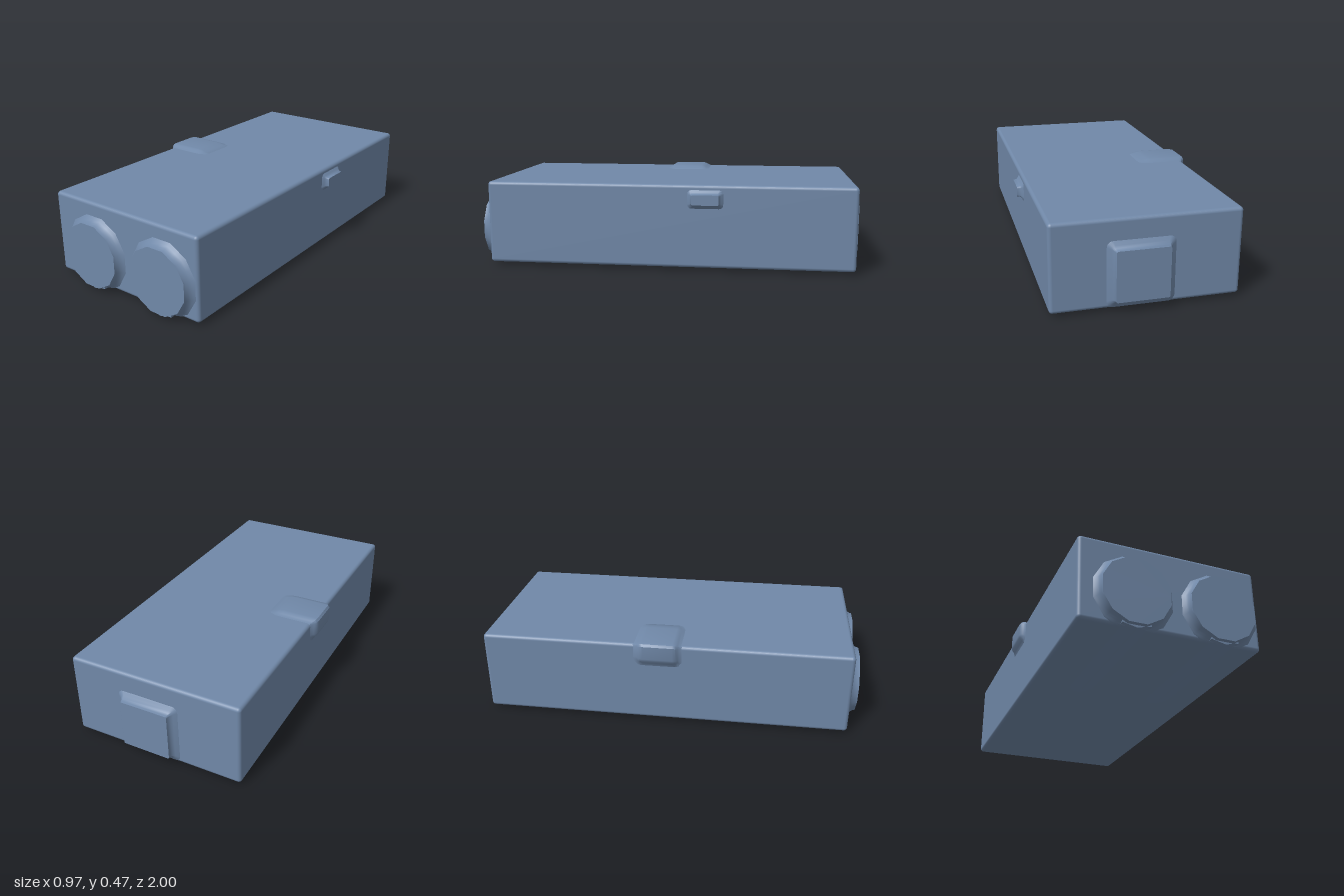
import * as THREE from 'three';
import { RoundedBoxGeometry } from 'three/addons/geometries/RoundedBoxGeometry.js';
import { toCreasedNormals } from 'three/addons/utils/BufferGeometryUtils.js';

const casing = new THREE.MeshStandardMaterial({ color: 0x7088a8 });
casing.name = 'blueGreyCasing';

const lerp = THREE.MathUtils.lerp;

// Skin a list of closed rings (arrays of [x, y, z], counter-clockwise seen from the last ring) and cap the end
function loft(rings, crease = 0.6) {
  const n = rings[0].length, pos = [], index = [];
  rings.forEach(ring => ring.forEach(p => pos.push(...p)));
  for (let r = 0; r < rings.length - 1; r++) {
    for (let i = 0; i < n; i++) {
      const a = r * n + i, b = r * n + (i + 1) % n;
      index.push(a, b, b + n, a, b + n, a + n);
    }
  }
  const capStart = (rings.length - 1) * n;
  for (let i = 1; i < n - 1; i++) index.push(capStart, capStart + i, capStart + i + 1);
  const g = new THREE.BufferGeometry();
  g.setAttribute('position', new THREE.Float32BufferAttribute(pos, 3));
  g.setIndex(index);
  return toCreasedNormals(g, crease);
}

// Rectangle ring with rounded corners, at height z
function roundedRect(w, h, r, z) {
  const ring = [];
  [[1, 1], [-1, 1], [-1, -1], [1, -1]].forEach(([sx, sy], q) => {
    for (let k = 0; k <= 4; k++) {
      const a = (q + k / 4) * Math.PI / 2;
      ring.push([sx * (w - r) + r * Math.cos(a), sy * (h - r) + r * Math.sin(a), z]);
    }
  });
  return ring;
}

// Raised pad whose foot flares smoothly into the casing; w and h are half sizes of its face
function padGeometry(w, h, rise, flare) {
  const steps = [[1, -0.15], [0.75, 0.08], [0.4, 0.25], [0.15, 0.5], [0.05, 0.75], [0, 1]];
  return loft(steps.map(([f, z]) => roundedRect(w + flare * f, h + flare * f, 0.008 + flare * f * 0.6, rise * z)));
}

export function createModel() {
  const model = new THREE.Group();
  model.name = 'casingBox';
  const add = (name, geometry, x = 0, y = 0, z = 0) => {
    const mesh = new THREE.Mesh(geometry, casing);
    mesh.name = name;
    mesh.position.set(x, y, z);
    model.add(mesh);
    return mesh;
  };

  // Main box
  add('body', new RoundedBoxGeometry(0.915, 0.433, 1.912, 4, 0.018), -0.0025, 0.2335, -0.002);

  // Two round front caps with flared feet, trimmed at the bottom edge
  const capY = 0.185, floor = 0.017;
  const profile = [[0.208, 0.948], [0.196, 0.958], [0.186, 0.966], [0.179, 0.979], [0.174, 0.99], [0.172, 1]];
  [-0.193, 0.245].forEach((x, n) => {
    const side = n ? 'left' : 'right';
    const rings = profile.map(([r, z]) => Array.from({ length: 24 }, (_, i) => {
      const a = i * Math.PI / 12;
      // twelve flats, so every second point sits on a flat
      const rr = i % 2 ? r : r * Math.cos(Math.PI / 12);
      const px = rr * Math.cos(a);
      const low = floor - 0.014 * Math.max(0, 1 - Math.abs(px) / 0.1);
      return [px, Math.max(rr * Math.sin(a), low - capY), z];
    }));
    add(side + 'FrontCap', loft(rings), x, capY);

    // Shallow ridge under the box, fading out toward the middle
    const section = [[-0.07, 0], [-0.04, 0.2], [-0.018, 0.75], [0, 1], [0.018, 0.75], [0.04, 0.2], [0.07, 0]];
    const ridge = [[0.2, 0], [0.23, 0.3], [0.27, 0.85], [0.32, 1], [0.95, 1], [0.985, 0.9]].map(([z, k]) => [
      ...section.map(([sx, d]) => [sx, 0.018 - 0.017 * d * k, z]),
      [0.07, 0.03, z], [-0.07, 0.03, z],
    ]);
    add(side + 'BottomRidge', loft(ridge), x);
  });

  // Square pad on the back
  add('backPad', padGeometry(0.128, 0.125, 0.042, 0.042), 0.028, 0.185, -0.958).rotation.y = Math.PI;

  // Small button on the left side
  add('sideButton', padGeometry(0.07, 0.026, 0.032, 0.026), 0.455, 0.376, -0.193).rotation.y = Math.PI / 2;

  // Latch wrapped over the upper right edge: outline points pair a raised spot with the surface below it
  const latch = [
    [-0.44, 0.32, -0.44, 0.32], [-0.2, 0.435, -0.2, 0.435], [-0.215, 0.45, -0.215, 0.448],
    [-0.24, 0.455, -0.24, 0.448], [-0.265, 0.464, -0.265, 0.448], [-0.29, 0.466, -0.29, 0.448],
    [-0.46, 0.466, -0.445, 0.448], [-0.477, 0.462, -0.453, 0.445], [-0.486, 0.45, -0.458, 0.435],
    [-0.487, 0.38, -0.458, 0.38], [-0.483, 0.366, -0.458, 0.366], [-0.468, 0.35, -0.458, 0.35],
    [-0.46, 0.332, -0.458, 0.332],
  ];
  const slices = [[-0.165, 0], [-0.15, 0.2], [-0.137, 0.5], [-0.125, 0.85], [-0.11, 1],
    [0.045, 1], [0.06, 0.85], [0.07, 0.5], [0.08, 0.2], [0.095, 0]];
  add('edgeLatch', loft(slices.map(([z, k]) =>
    latch.map(([ox, oy, ix, iy]) => [lerp(ix, ox, k), lerp(iy, oy, k), z]))));

  return model;
}
